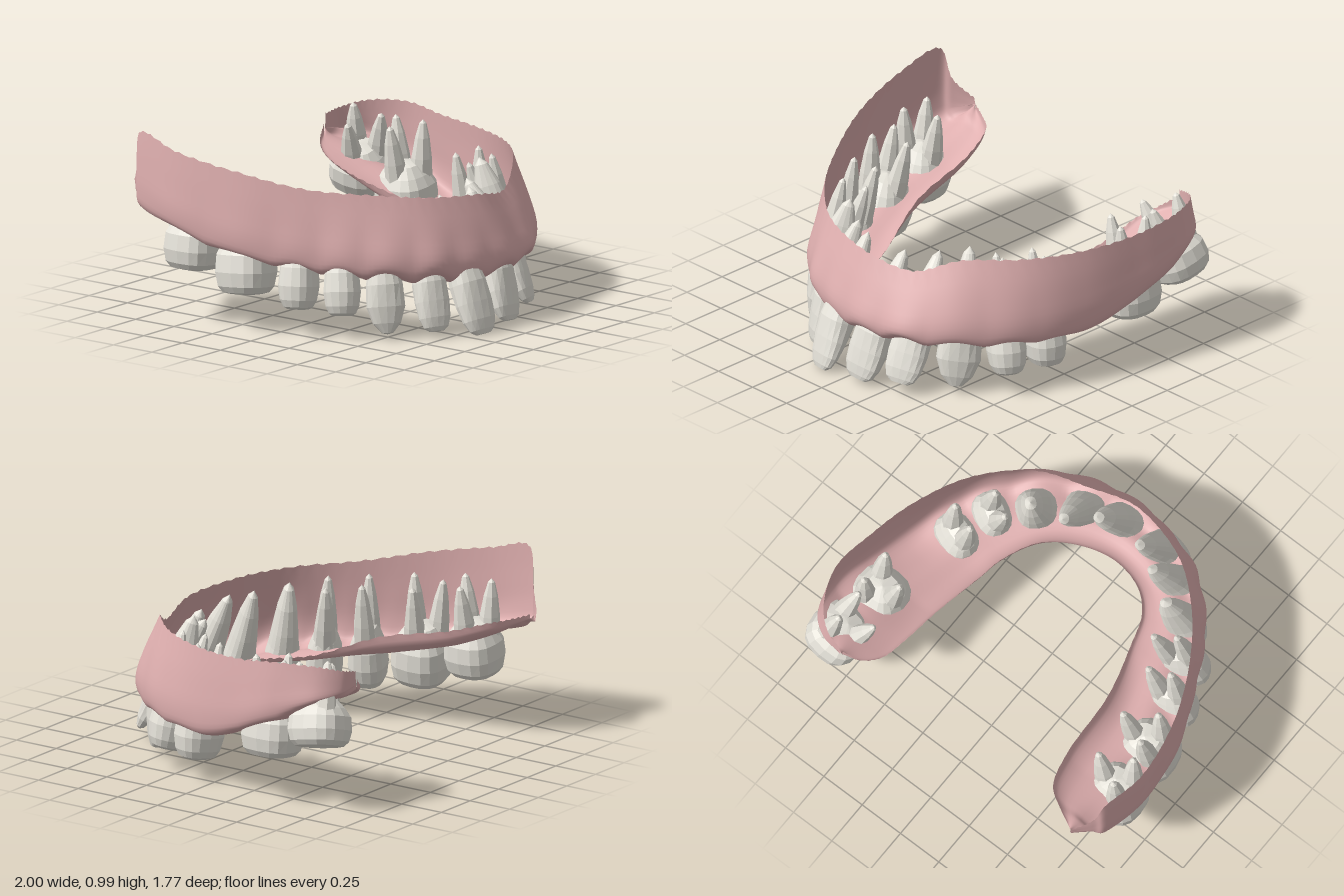
import * as THREE from 'three';

const V = (x, y, z) => new THREE.Vector3(x, y, z);
const gumMat = new THREE.MeshStandardMaterial({ color: 0xe0b0b0, side: THREE.DoubleSide });
const toothMat = new THREE.MeshStandardMaterial({ color: 0xe6e3da, flatShading: true });

// Teeth: kind, crown tip xyz, root apex xyz, width along the arch, depth across it
const TEETH = [
  ['incisor', -0.16, 0.0, 0.855, -0.13, 0.68, 0.54, 0.21, 0.16],
  ['incisor', -0.36, 0.03, 0.71, -0.26, 0.68, 0.48, 0.18, 0.17],
  ['canine', -0.54, 0.02, 0.53, -0.43, 0.7, 0.38, 0.2, 0.2],
  ['premolar', -0.66, 0.11, 0.33, -0.55, 0.7, 0.23, 0.19, 0.24],
  ['premolar', -0.75, 0.13, 0.11, -0.65, 0.72, 0.06, 0.2, 0.24],
  ['molar', -0.81, 0.18, -0.18, -0.74, 0.74, -0.23, 0.3, 0.3],
  ['molar', -0.84, 0.27, -0.5, -0.79, 0.78, -0.5, 0.29, 0.3],
  ['incisor', 0.09, 0.02, 0.83, 0.13, 0.67, 0.53, 0.22, 0.17],
  ['incisor', 0.33, 0.06, 0.77, 0.26, 0.67, 0.41, 0.21, 0.17],
  ['canine', 0.52, 0.03, 0.55, 0.43, 0.74, 0.36, 0.23, 0.21],
  ['premolar', 0.69, 0.1, 0.34, 0.55, 0.7, 0.27, 0.2, 0.25],
  ['premolar', 0.74, 0.1, 0.12, 0.66, 0.7, 0.1, 0.21, 0.27],
  ['molar', 0.82, 0.23, -0.41, 0.76, 0.75, -0.41, 0.31, 0.3],
  ['molar', 0.86, 0.34, -0.74, 0.73, 0.75, -0.66, 0.31, 0.31],
];

// Lengthwise profiles: [distance along tooth, width scale, depth scale]
const PROFILES = {
  incisor: [[0, 0, 0], [0, 0.45, 0.18], [0.03, 0.74, 0.33], [0.1, 0.93, 0.55], [0.22, 1, 0.78], [0.36, 0.95, 1],
    [0.48, 0.8, 0.95], [0.6, 0.7, 0.88], [0.8, 0.5, 0.65], [0.95, 0.26, 0.32], [1, 0, 0]],
  canine: [[0, 0, 0], [0.01, 0.3, 0.22], [0.08, 0.72, 0.48], [0.2, 1, 0.78], [0.36, 0.95, 1], [0.48, 0.78, 0.95],
    [0.6, 0.68, 0.88], [0.8, 0.5, 0.65], [0.95, 0.26, 0.32], [1, 0, 0]],
  premolar: [[0.05, 0, 0], [0.035, 0.25, 0.25], [0, 0.52, 0.52], [0.02, 0.72, 0.72], [0.08, 0.9, 0.88], [0.2, 1, 1],
    [0.36, 0.92, 0.95], [0.46, 0.7, 0.82], [0.55, 0.48, 0.6], [0.6, 0, 0]],
  molar: [[0.06, 0, 0], [0.045, 0.25, 0.25], [0, 0.56, 0.54], [0.015, 0.76, 0.74], [0.07, 0.92, 0.89], [0.2, 1, 1],
    [0.36, 0.96, 0.96], [0.46, 0.78, 0.78], [0.56, 0.52, 0.52], [0.6, 0, 0]],
  root: [[0, 0, 0], [0, 1, 1], [0.35, 0.88, 0.88], [0.7, 0.62, 0.62], [0.94, 0.3, 0.3], [1, 0, 0]],
};
// Root positions: [along arch, across arch] as a share of the crown size
const ROOTS = { premolar: [[0, 0.22], [0, -0.22]], molar: [[-0.24, 0.2], [0.24, 0.2], [0, -0.26]] };

// Skin a grid of points, optionally closing each row
function skin(rows, closed) {
  const n = rows[0].length, index = [];
  for (let i = 0; i < rows.length - 1; i++) {
    for (let j = 0; j < (closed ? n : n - 1); j++) {
      const k = (j + 1) % n, a = i * n + j, b = i * n + k, c = a + n, d = b + n;
      index.push(a, b, d, a, d, c);
    }
  }
  const g = new THREE.BufferGeometry().setFromPoints(rows.flat());
  g.setIndex(index);
  g.computeVertexNormals();
  return g;
}

// Direction pointing out of the arch
function outward(x, z) {
  return V(x / 0.72, 0, Math.max(0, z + 0.3) / 1.2).normalize();
}

// Axes of a tooth: u along the arch, v across it
function frame(tip, apex) {
  const a = apex.clone().sub(tip).normalize();
  const out = outward(tip.x, tip.z);
  const u = V(-out.z, 0, out.x);
  u.addScaledVector(a, -u.dot(a)).normalize();
  return { u, v: a.clone().cross(u) };
}

// Faceted tapering body between two points
function body(profile, tip, apex, w, d, { u, v }, sides, power) {
  const round = c => Math.sign(c) * Math.pow(Math.abs(c), power);
  return skin(profile.map(([t, sw, sd]) => {
    const c = tip.clone().lerp(apex, t);
    return Array.from({ length: sides }, (_, j) => {
      const th = (j / sides) * Math.PI * 2;
      return c.clone().addScaledVector(u, round(Math.cos(th)) * sw * w / 2)
        .addScaledVector(v, round(Math.sin(th)) * sd * d / 2);
    });
  }), true);
}

function makeTooth([kind, x, y, z, ax, ay, az, w, d]) {
  const group = new THREE.Group();
  group.name = kind;
  const tip = V(x, y, z), apex = V(ax, ay, az), f = frame(tip, apex);
  const add = (name, geo) => {
    const m = new THREE.Mesh(geo, toothMat);
    m.name = name;
    group.add(m);
  };
  add('crown', body(PROFILES[kind], tip, apex, w, d, f, 16, kind === 'molar' ? 0.75 : 0.82));
  // Separate roots that splay towards their tips
  const side = Math.sign(f.v.dot(outward(x, z)));
  for (const [p, q] of ROOTS[kind] || []) {
    const shift = (c, s) => c.clone().addScaledVector(f.u, p * w * s).addScaledVector(f.v, q * d * s * side);
    const start = shift(tip.clone().lerp(apex, 0.4), 0.85), end = shift(apex, 1.2);
    add('root', body(PROFILES.root, start, end, 0.12, 0.12, frame(start, end), 8, 1));
  }
  return group;
}

// Gum stations: outer x,z, inner x,z, outer rim y, bottom y, inner rim y, rim inset
const GUM = [
  [-0.83, -0.89, -0.8, -0.87, 0.68, 0.62, 0.66, 0],
  [-0.92, -0.81, -0.7, -0.82, 0.79, 0.59, 0.65, 0.01],
  [-0.97, -0.76, -0.6, -0.75, 0.97, 0.55, 0.64, 0.02],
  [-1.0, -0.5, -0.53, -0.55, 0.91, 0.46, 0.58, 0.02],
  [-0.94, -0.15, -0.48, -0.15, 0.84, 0.36, 0.49, 0.03],
  [-0.8, 0.17, -0.37, 0.18, 0.77, 0.31, 0.36, 0.04],
  [-0.62, 0.48, -0.3, 0.36, 0.74, 0.28, 0.33, 0.08],
  [-0.38, 0.7, -0.19, 0.46, 0.71, 0.26, 0.33, 0.1],
  [0, 0.81, 0, 0.5, 0.68, 0.24, 0.33, 0.11],
  [0.35, 0.76, 0.2, 0.44, 0.64, 0.25, 0.34, 0.14],
  [0.6, 0.6, 0.34, 0.32, 0.74, 0.26, 0.38, 0.12],
  [0.82, 0.32, 0.43, 0.12, 0.75, 0.26, 0.4, 0.08],
  [0.93, 0, 0.45, -0.02, 0.75, 0.27, 0.42, 0.04],
  [0.98, -0.3, 0.5, -0.32, 0.76, 0.34, 0.45, 0.02],
  [1.0, -0.55, 0.52, -0.56, 0.79, 0.45, 0.5, 0.02],
  [0.93, -0.75, 0.54, -0.72, 0.78, 0.53, 0.56, 0.03],
  [0.82, -0.84, 0.6, -0.81, 0.75, 0.58, 0.61, 0.02],
  [0.71, -0.86, 0.69, -0.855, 0.73, 0.62, 0.68, 0],
];

function makeGum() {
  const pick = (a, b, c) => new THREE.CatmullRomCurve3(GUM.map(s => V(s[a], s[b], s[c])), false, 'centripetal');
  const outer = pick(0, 4, 1), inner = pick(2, 6, 3), rest = pick(7, 5, 7);
  const N = 200, M = 30, rows = [];
  for (let i = 0; i <= N; i++) {
    const t = i / N, o = outer.getPoint(t), n = inner.getPoint(t), r = rest.getPoint(t);
    const bot = r.y, rim = o.y, inY = n.y;
    const width = Math.max(0.02, Math.hypot(o.x - n.x, o.z - n.z));
    const at = (a, y) => V(o.x + (n.x - o.x) * a, y, o.z + (n.z - o.z) * a);
    const mix = (a, b, k) => a + (b - a) * k;
    // Cross-section from the outer rim, under the ridge, to the inner rim
    const section = new THREE.CatmullRomCurve3([
      at(Math.min(0.5, r.x / width), rim), at(r.x * 0.35 / width, mix(bot, rim, 0.6)), at(0, mix(bot, rim, 0.27)),
      at(0.05, bot + 0.03), at(0.2, bot), at(0.5, bot + 0.035), at(0.78, bot + 0.02),
      at(0.95, mix(bot, inY, 0.5)), at(1, inY),
    ]);
    const row = section.getPoints(M);
    // Raise the margin over each tooth and swell the wall over its root
    row.forEach((p, j) => {
      const k = j / M;
      const margin = Math.exp(-(((k - 0.45) / 0.16) ** 2)), wall = Math.exp(-(((k - 0.25) / 0.13) ** 2));
      let near = 0;
      for (const [, x, , z, , , , w] of TEETH) {
        near = Math.max(near, Math.exp(-((x - p.x) ** 2 + (z - p.z) ** 2) / (w * w * 0.3)));
      }
      p.y += 0.05 * margin * near;
      p.addScaledVector(outward(p.x, p.z), 0.02 * wall * (near - 0.5));
    });
    // Slightly ragged rims
    row[0].y += 0.005 * Math.sin(i * 2.3);
    row[M].y += 0.004 * Math.sin(i * 1.9);
    rows.push(row);
  }
  const gum = new THREE.Mesh(skin(rows, false), gumMat);
  gum.name = 'gum';
  return gum;
}

export function createModel() {
  const model = new THREE.Group();
  model.name = 'upperJaw';
  const teeth = new THREE.Group();
  teeth.name = 'teeth';
  TEETH.forEach(t => teeth.add(makeTooth(t)));
  model.add(makeGum(), teeth);
  return model;
}
